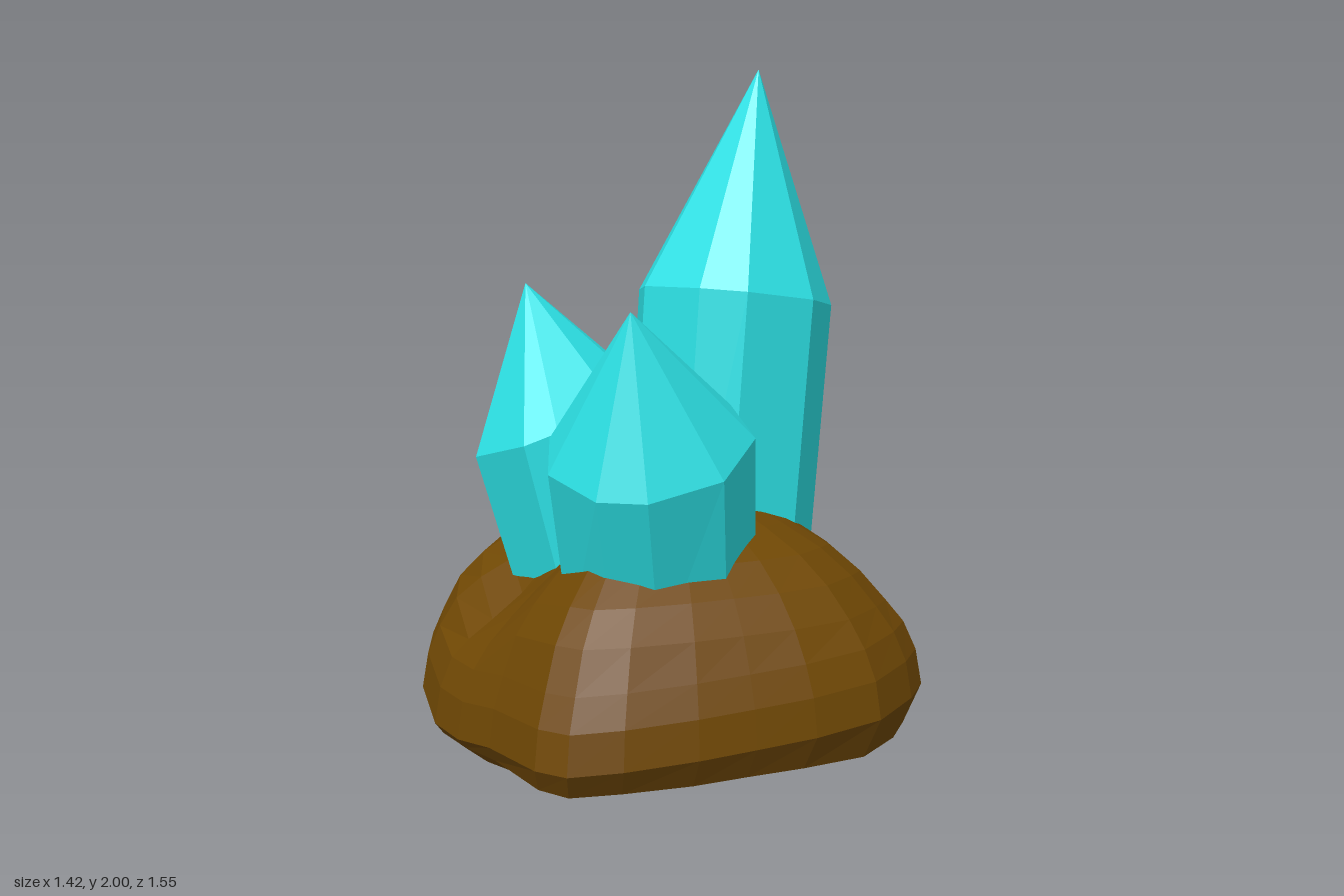
import * as THREE from 'three';

// Skin a stack of closed rings (bottom to top) with flat facets
function loft(rings, color, name) {
  const pos = [];
  const tri = (a, b, c) => {
    const n = b.clone().sub(a).cross(c.clone().sub(a));
    if (n.lengthSq() > 1e-14) for (const p of [a, b, c]) pos.push(p.x, p.y, p.z);
  };
  for (let i = 0; i < rings.length - 1; i++) {
    const lo = rings[i], hi = rings[i + 1], n = lo.length;
    for (let j = 0; j < n; j++) {
      const k = (j + 1) % n;
      tri(lo[j], hi[j], lo[k]);
      tri(lo[k], hi[j], hi[k]);
    }
  }
  const geo = new THREE.BufferGeometry();
  geo.setAttribute('position', new THREE.Float32BufferAttribute(pos, 3));
  geo.computeVertexNormals();
  const mesh = new THREE.Mesh(geo, new THREE.MeshStandardMaterial({ color, flatShading: true }));
  mesh.name = name;
  return mesh;
}

const bump = (x, z, cx, cz, r) => Math.exp(-((x - cx) ** 2 + (z - cz) ** 2) / (r * r));

// Boulder: one plan outline scaled through a profile, hollowed below and notched at the front
function makeRock() {
  const outline = [
    [0.71, 0], [0.69, 0.14], [0.62, 0.32], [0.47, 0.46], [0.33, 0.555], [0.2, 0.64], [0.03, 0.73],
    [-0.1, 0.775], [-0.19, 0.74], [-0.36, 0.56], [-0.48, 0.45], [-0.58, 0.34], [-0.68, 0.15], [-0.715, 0],
    [-0.7, -0.16], [-0.7, -0.32], [-0.65, -0.46], [-0.55, -0.55], [-0.36, -0.65], [-0.17, -0.75],
    [-0.07, -0.78], [0.05, -0.775], [0.18, -0.73], [0.35, -0.62], [0.5, -0.48], [0.61, -0.35], [0.68, -0.2],
  ];
  // [scale, height]
  const under = [[0, 0], [0.3, 0.02], [0.58, 0.07], [0.8, 0.14], [0.95, 0.21]];
  const over = [[1, 0.32], [0.975, 0.42], [0.925, 0.5], [0.855, 0.58], [0.755, 0.66],
    [0.63, 0.73], [0.47, 0.79], [0.25, 0.85], [0, 0.87]];
  const rings = [...under, ...over].map(([s, h], i) => outline.map(([px, pz]) => {
    const below = i < under.length;
    const shift = below ? 1 - s : 0;
    const x = px * s - 0.25 * shift;
    const z = pz * s - 0.1 * shift;
    let y = h;
    if (below) {
      y += 0.05 * bump(x, z, -0.1, 0.45, 0.25) + 0.07 * bump(x, z, 0.22, 0.22, 0.25);
    } else {
      // Slumped shoulders, then the notch under the side crystal
      y -= 0.08 * bump(x, z, 0.52, -0.36, 0.3) + 0.05 * bump(x, z, -0.52, 0.38, 0.25);
      if (s > 0.9) y += 0.03 * (x - z);
      else y -= 0.12 * bump(x, z, -0.38, 0.22, 0.17);
    }
    return new THREE.Vector3(x, y, z);
  }));
  return loft(rings, 0x704804, 'rock');
}

// Crystal: tilted shoulder outline, tapering to an apex and down to a buried base
function makeCrystal({ name, apex, outline, plane: [a, b, c], baseY, lean, taper }) {
  const n = outline.length;
  const cx = outline.reduce((s, p) => s + p[0], 0) / n;
  const cz = outline.reduce((s, p) => s + p[1], 0) / n;
  const shoulder = outline.map(([x, z]) => new THREE.Vector3(x, a + b * x + c * z, z));
  const base = outline.map(([x, z]) => new THREE.Vector3(
    cx + (x - cx) * taper + lean[0], baseY, cz + (z - cz) * taper + lean[1]));
  const centre = new THREE.Vector3(cx + lean[0], baseY, cz + lean[1]);
  const tip = new THREE.Vector3(...apex);
  return loft([outline.map(() => centre), base, shoulder, outline.map(() => tip)], 0x2de4e8, name);
}

export function createModel() {
  const group = new THREE.Group();
  group.name = 'crystalRock';
  group.add(makeRock());
  const crystals = [
    {
      name: 'tallCrystal', apex: [0.21, 2, -0.235], plane: [1.41, -0.06, 0.15],
      baseY: 0.5, lean: [-0.05, 0.06], taper: 0.98,
      outline: [[0.42, -0.27], [0.39, -0.06], [0.23, 0.08], [0.1, 0.08],
        [-0.07, -0.02], [-0.13, -0.23], [-0.01, -0.41], [0.29, -0.43]],
    },
    {
      name: 'sideCrystal', apex: [-0.39, 1.42, 0.05], plane: [1.173, 0.4, -0.1],
      baseY: 0.46, lean: [0.12, -0.04], taper: 0.94,
      outline: [[-0.08, 0], [-0.11, 0.17], [-0.24, 0.29], [-0.33, 0.3],
        [-0.5, 0.18], [-0.54, -0.03], [-0.43, -0.2], [-0.14, -0.21]],
    },
    {
      name: 'frontCrystal', apex: [0, 1.39, 0.495], plane: [1.15, 0, -0.38],
      baseY: 0.5, lean: [0, -0.15], taper: 0.94,
      outline: [[0.28, 0.27], [0.23, 0.47], [0.06, 0.58], [-0.07, 0.58],
        [-0.22, 0.47], [-0.26, 0.3], [-0.11, 0.14], [0.19, 0.11]],
    },
  ];
  for (const c of crystals) group.add(makeCrystal(c));
  return group;
}
